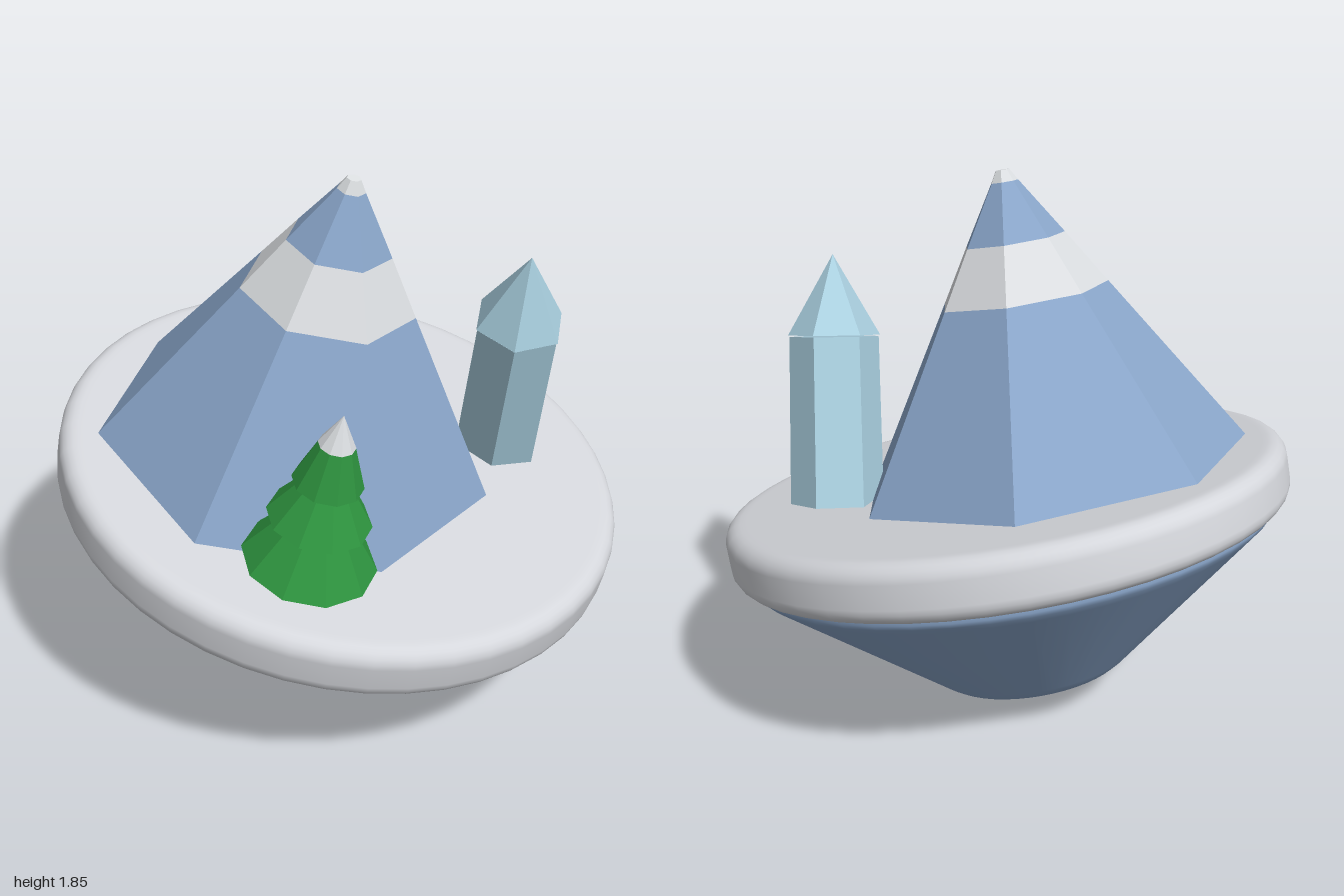
import * as THREE from 'three';

const flat = (geo) => {
  const g = geo.toNonIndexed();
  g.computeVertexNormals();
  return g;
};

export function createModel() {
  const mat = (name, color) => {
    const m = new THREE.MeshStandardMaterial({ color });
    m.name = name;
    return m;
  };
  const rock = mat('blue rock', 0x8aa6ca);
  const snow = mat('snow', 0xdcdfe2);
  const ground = mat('ground grey', 0xd5d7dc);
  const ice = mat('ice', 0xaad0e0);
  const leaf = mat('pine green', 0x2f9640);
  const bark = mat('bark', 0x5c687e);

  const model = new THREE.Group();
  model.name = 'floatingIsland';

  // The whole island leans towards the front; local y = 0 is the ground
  const island = new THREE.Group();
  island.name = 'island';
  island.position.set(0, 0.8, 0.02);
  island.rotation.x = 0.245;
  model.add(island);

  const add = (parent, name, geo, material) => {
    const m = new THREE.Mesh(geo, material);
    m.name = name;
    parent.add(m);
    return m;
  };
  const part = (name, x, z) => {
    const g = new THREE.Group();
    g.name = name;
    g.position.set(x, 0, z);
    island.add(g);
    return g;
  };
  // Faceted frustum standing between heights y0 and y1
  const frustum = (r0, r1, y0, y1, sides, open = false, start = 0) =>
    flat(new THREE.CylinderGeometry(r1, r0, y1 - y0, sides, 1, open, start)
      .translate(0, (y0 + y1) / 2, 0));
  const lathe = (pts) =>
    new THREE.LatheGeometry(pts.map(([r, y]) => new THREE.Vector2(r, y)), 48);

  // Ground disc with rounded rim
  const rim = [[0, -0.2], [0.93, -0.2]];
  const arc = (cx, cy, r, a0, a1) => {
    for (let i = 0; i <= 5; i++) {
      const a = a0 + (a1 - a0) * i / 5;
      rim.push([cx + r * Math.cos(a), cy + r * Math.sin(a)]);
    }
  };
  arc(0.94, -0.14, 0.06, -Math.PI / 2, 0);
  arc(0.94, -0.06, 0.06, 0, Math.PI / 2);
  rim.push([0.92, 0], [0, 0]);
  add(island, 'groundDisc', lathe(rim), ground);

  // Tapered rock underside with softened edges
  add(island, 'rockUnderside', lathe([
    [0, -0.745], [0.27, -0.745], [0.3, -0.743], [0.33, -0.733], [0.36, -0.712],
    [0.38, -0.695], [0.91, -0.25], [0.935, -0.228], [0.948, -0.21], [0.945, -0.19],
  ]), rock);

  // Seven-sided mountain in stacked bands
  const mountain = part('mountain', -0.1, -0.147);
  const bands = [
    ['mountainBase', 0.7, 0.3, 0, 0.617, rock],
    ['snowBand', 0.3, 0.178, 0.617, 0.807, snow],
    ['mountainUpper', 0.178, 0.048, 0.807, 1.005, rock],
    ['snowPeak', 0.048, 0.024, 1.005, 1.045, snow],
  ];
  for (const [name, r0, r1, y0, y1, m] of bands)
    add(mountain, name, frustum(r0, r1, y0, y1, 7, name !== 'snowPeak', Math.PI), m);

  // Pine tree
  const tree = part('pineTree', -0.62, 0.338);
  add(tree, 'trunk', frustum(0.042, 0.042, -0.01, 0.12, 8), bark);
  const tiers = [[0.217, 0.1, 0.085, 0.252], [0.166, 0.075, 0.258, 0.395], [0.112, 0.057, 0.4, 0.545]];
  tiers.forEach(([r0, r1, y0, y1], i) =>
    add(tree, 'foliageTier' + (i + 1), frustum(r0, r1, y0, y1, 10), leaf));
  add(tree, 'snowTip', flat(new THREE.ConeGeometry(0.058, 0.108, 10).translate(0, 0.599, 0)), snow);

  // Leaning six-sided ice crystal
  const crystal = part('iceCrystal', 0.5, 0.32);
  crystal.rotation.z = 0.2;
  add(crystal, 'crystalShaft', frustum(0.163, 0.155, 0, 0.585, 6), ice);
  add(crystal, 'crystalPoint',
    flat(new THREE.ConeGeometry(0.16, 0.28, 6).translate(0, 0.73, 0)), ice);

  return model;
}
